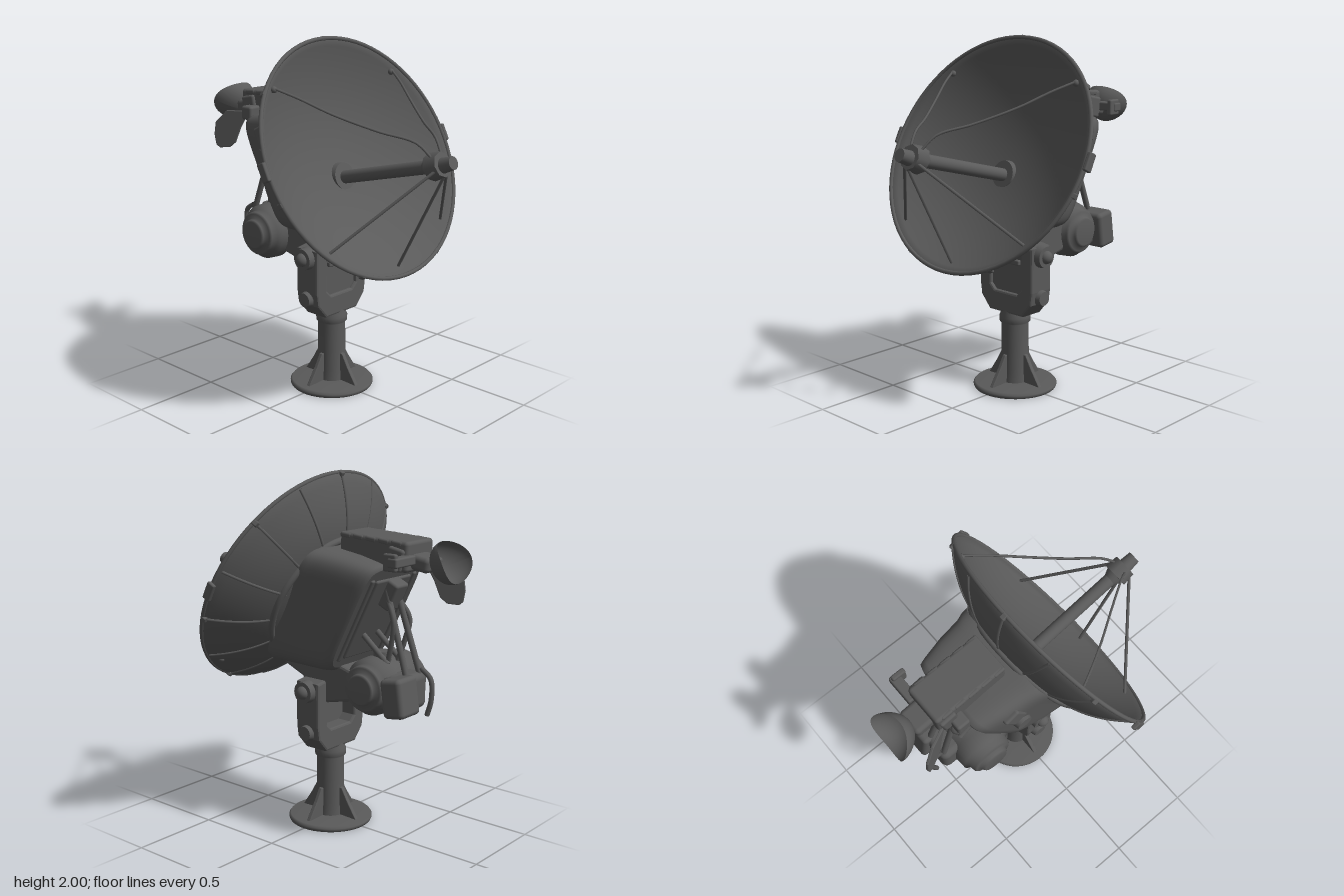
import * as THREE from 'three';
import { RoundedBoxGeometry } from 'three/addons/geometries/RoundedBoxGeometry.js';

const V = (x, y, z) => new THREE.Vector3(x, y, z);
const gray = new THREE.MeshStandardMaterial({ color: 0x5a5a5a, side: THREE.DoubleSide });
gray.name = 'dark gray';

function add(parent, name, geo, x = 0, y = 0, z = 0, rx = 0, ry = 0, rz = 0) {
  const m = new THREE.Mesh(geo, gray);
  m.name = name;
  m.position.set(x, y, z);
  m.rotation.set(rx, ry, rz);
  parent.add(m);
  return m;
}
const box = (w, h, d, r = 0.015) => new RoundedBoxGeometry(w, h, d, 3, r);
const cyl = (r1, r2, h, n = 28) => new THREE.CylinderGeometry(r1, r2, h, n);
const lathe = (pts, n = 40) => new THREE.LatheGeometry(pts.map(p => new THREE.Vector2(...p)), n);
const tube = (pts, r, seg = 24) => new THREE.TubeGeometry(new THREE.CatmullRomCurve3(pts), seg, r, 6);

// cylinder whose ends sit at a and b
function rod(parent, name, a, b, rA, rB = rA, n = 24) {
  const m = add(parent, name, cyl(rB, rA, a.distanceTo(b), n));
  m.position.copy(a).lerp(b, 0.5);
  m.quaternion.setFromUnitVectors(V(0, 1, 0), b.clone().sub(a).normalize());
}

// rounded-rectangle sections [depth, halfWidth, bottom, top], joined along z and capped
function loft(sections, n = 56, power = 0.32) {
  const pos = [], idx = [];
  const c = (v) => Math.sign(v) * Math.abs(v) ** power;
  const ring = ([z, w, b, t]) => {
    for (let i = 0; i < n; i++) {
      const a = (i / n) * Math.PI * 2;
      pos.push(w * c(Math.cos(a)), (b + t) / 2 + (t - b) / 2 * c(Math.sin(a)), z);
    }
  };
  sections.forEach(ring);
  for (let s = 0; s < sections.length - 1; s++)
    for (let i = 0; i < n; i++) {
      const a = s * n + i, b = s * n + (i + 1) % n;
      idx.push(a, a + n, b, b, a + n, b + n);
    }
  const last = sections[sections.length - 1], k = pos.length / 3;
  ring(last);
  pos.push(0, (last[2] + last[3]) / 2, last[0]);
  for (let i = 0; i < n; i++) idx.push(k + n, k + (i + 1) % n, k + i);
  const g = new THREE.BufferGeometry();
  g.setAttribute('position', new THREE.Float32BufferAttribute(pos, 3));
  g.setIndex(idx);
  g.computeVertexNormals();
  return g;
}

function extrude(pts, depth, bevel = 0.008) {
  const g = new THREE.ExtrudeGeometry(new THREE.Shape(pts.map(p => new THREE.Vector2(...p))),
    { depth: depth - 2 * bevel, bevelSize: bevel, bevelThickness: bevel, bevelSegments: 2 });
  g.translate(0, 0, -(depth - 2 * bevel) / 2);
  return g;
}

function buildPedestal(g) {
  add(g, 'basePlate', lathe([[0, 0], [0.235, 0], [0.24, 0.01], [0.24, 0.02], [0.23, 0.032], [0.1, 0.036], [0, 0.036]], 48));
  add(g, 'column', lathe([[0.085, 0.03], [0.08, 0.1], [0.078, 0.38], [0.088, 0.39], [0.09, 0.42], [0.082, 0.44], [0.08, 0.47]], 32));
  for (let i = 0; i < 4; i++) {
    const h = new THREE.Group();
    h.name = 'gusset';
    h.rotation.y = i * Math.PI / 2;
    add(h, 'gussetPlate', extrude([[0.06, 0.03], [0.195, 0.03], [0.13, 0.125], [0.09, 0.195], [0.06, 0.2]], 0.024, 0.004));
    g.add(h);
  }
}

function buildYoke(g) {
  // U-shaped fork with a web closing its front
  add(g, 'fork', extrude([[-0.12, 0.46], [0.12, 0.46], [0.18, 0.53], [0.19, 0.6], [0.19, 0.84], [0.13, 0.85],
    [0.13, 0.6], [0.09, 0.56], [-0.09, 0.56], [-0.13, 0.6], [-0.13, 0.85], [-0.19, 0.84], [-0.19, 0.6], [-0.18, 0.53]], 0.16, 0.012));
  add(g, 'forkWeb', box(0.27, 0.26, 0.05), 0, 0.67, 0.035);
  add(g, 'forkSlot', box(0.2, 0.03, 0.03, 0.008), 0, 0.755, 0.065);
  for (const s of [-1, 1]) {
    add(g, 'upperPivot', cyl(0.06, 0.065, 0.05), s * 0.215, 0.8, 0, 0, 0, -s * Math.PI / 2);
    add(g, 'upperPivotCap', new THREE.SphereGeometry(0.038, 20, 12), s * 0.235, 0.8, 0);
    add(g, 'lowerPivot', cyl(0.04, 0.05, 0.04), s * 0.205, 0.56, 0, 0, 0, -s * Math.PI / 2);
  }
  // cradle that carries the dish and the drive
  const cradle = extrude([[0.25, 0.95], [0.2, 0.92], [0.08, 0.87], [0.04, 0.76], [-0.08, 0.75], [-0.25, 0.79],
    [-0.25, 0.93], [0, 1.0], [0.15, 1.04]], 0.27, 0.015);
  cradle.rotateY(-Math.PI / 2);
  add(g, 'cradle', cradle);
}

function buildDrive(g) {
  // drum profile is mirrored about its middle
  const half = [[0, 0.24], [0.075, 0.24], [0.085, 0.23], [0.09, 0.21], [0.115, 0.21], [0.125, 0.2],
    [0.13, 0.16], [0.155, 0.15], [0.16, 0.08], [0.145, 0.06]];
  const drum = lathe([...half.map(([r, y]) => [r, -y]), ...half.reverse()], 36);
  add(g, 'motorDrum', drum, -0.03, 0.875, -0.37, 0, 0, Math.PI / 2);
  add(g, 'motorBracket', box(0.24, 0.15, 0.3, 0.03), 0, 0.87, -0.22);
  add(g, 'gearHousing', box(0.24, 0.2, 0.2, 0.04), 0.02, 0.86, -0.5);
  add(g, 'motorBox', box(0.17, 0.21, 0.13, 0.025), 0.12, 0.86, -0.575, 0.15);
  add(g, 'topValve', cyl(0.045, 0.055, 0.08), 0.02, 1.02, -0.38);
  // links and cables between the drive and the pod
  for (const s of [-1, 1]) {
    rod(g, 'link', V(s * 0.04, 1.4, -0.42), V(s * 0.06, 0.95, -0.57), 0.017);
    add(g, 'cable', tube([V(s * 0.04, 1.36, -0.42), V(s * 0.07, 1.24, -0.49), V(s * 0.06, 1.12, -0.47), V(s * 0.04, 0.96, -0.42)], 0.014));
    rod(g, 'brace', V(s * 0.06, 1.14, -0.28), V(s * 0.06, 1.0, -0.45), 0.016);
  }
  add(g, 'linkAnchor', box(0.11, 0.16, 0.08), 0, 1.37, -0.43, -0.45);
  add(g, 'hangingCable', tube([V(-0.06, 0.98, -0.58), V(-0.05, 0.93, -0.65), V(-0.05, 0.82, -0.655), V(-0.05, 0.73, -0.63)], 0.014));
}

function buildDish(d) {
  const R = 0.695, N = 18, squash = 0.97;
  const back = (r) => -0.012 - 0.238 * (1 - (r / R) ** 2.8);
  const prof = [];
  for (let i = 0; i <= N; i++) prof.push([R * i / N, back(R * i / N)]);
  for (let i = N; i >= 0; i--) prof.push([R * i / N, 0.008 - 0.212 * (1 - (i / N) ** 2.2)]);
  add(d, 'reflector', lathe(prof, 72).rotateX(Math.PI / 2).scale(1, squash, 1));
  add(d, 'rim', new THREE.TorusGeometry(R, 0.012, 8, 72).scale(1, squash, 1));
  add(d, 'rearRing', new THREE.TorusGeometry(0.38, 0.02, 10, 56), 0, 0, -0.205);
  // raised seams on the back and clips on the rim
  for (let i = 0; i < 14; i++) {
    const a = Math.PI / 2 + i / 14 * Math.PI * 2, c = Math.cos(a), s = Math.sin(a) * squash;
    const pts = [0.36, 0.44, 0.52, 0.6, 0.65, 0.69].map(r => V(r * c, r * s, back(r)));
    add(d, 'rearSeam', tube(pts, 0.008, 14));
    if (i % 2 === 0) add(d, 'rimClip', box(0.025, 0.03, 0.035, 0.006), c * R, s * R, -0.01, 0, 0, a);
  }
  for (const s of [-1, 1]) add(d, 'sideLug', box(0.025, 0.1, 0.05, 0.008), s * 0.71, 0.03, -0.01);
  // equipment pod
  add(d, 'pod', loft([[-0.205, 0.325, -0.36, 0.355], [-0.24, 0.32, -0.365, 0.37], [-0.28, 0.305, -0.345, 0.38],
    [-0.4, 0.29, -0.29, 0.42], [-0.52, 0.265, -0.24, 0.45], [-0.555, 0.255, -0.22, 0.455], [-0.568, 0.235, -0.195, 0.435]]));
  add(d, 'podBackPanel', box(0.3, 0.5, 0.03, 0.012), 0, 0.12, -0.565);
  for (const s of [-1, 1]) add(d, 'podRib', box(0.03, 0.52, 0.03, 0.01), s * 0.18, 0.12, -0.565);
  add(d, 'sideKnob', cyl(0.045, 0.055, 0.05), -0.285, 0.14, -0.42, 0, 0, Math.PI / 2);
  add(d, 'sideBox', box(0.05, 0.14, 0.1), -0.275, 0.28, -0.4);
}

function buildFeed(g) {
  rod(g, 'feedFlange', V(0, 1.235, 0.05), V(0, 1.25, 0.1), 0.085, 0.075);
  rod(g, 'feedBoom', V(0, 1.235, 0.06), V(0, 1.405, 0.73), 0.036);
  rod(g, 'feedCone', V(0, 1.385, 0.66), V(0, 1.4, 0.71), 0.036, 0.06);
  rod(g, 'feedCollar', V(0, 1.395, 0.7), V(0, 1.42, 0.77), 0.075, 0.068, 8);
  rod(g, 'feedTip', V(0, 1.41, 0.76), V(0, 1.437, 0.835), 0.042, 0.035);
  for (const s of [-1, 1]) {
    add(g, 'upperStay', tube([V(s * 0.46, 1.775, 0.04), V(s * 0.4, 1.73, 0.15), V(s * 0.31, 1.655, 0.3), V(s * 0.18, 1.575, 0.5),
      V(s * 0.08, 1.525, 0.66), V(s * 0.04, 1.45, 0.73)], 0.007));
    rod(g, 'lowerStay', V(s * 0.46, 0.97, 0.41), V(s * 0.05, 1.39, 0.76), 0.009, 0.009, 6);
    add(g, 'stayFoot', new THREE.SphereGeometry(0.018, 12, 8), s * 0.46, 1.77, 0.03);
    add(g, 'stayFoot', new THREE.SphereGeometry(0.018, 12, 8), s * 0.46, 0.97, 0.4);
  }
  rod(g, 'bottomStay', V(0, 0.82, 0.49), V(0, 1.36, 0.78), 0.009, 0.009, 6);
}

function buildTopUnit(g) {
  // ribbed housing over the pod
  add(g, 'housing', box(0.235, 0.16, 0.44, 0.02), 0, 1.602, -0.38, -0.05);
  for (let i = 0; i < 5; i++)
    add(g, 'housingRib', box(0.24, 0.03, 0.072, 0.012), 0, 1.674 - i * 0.004, -0.2 - i * 0.083, -0.1);
  add(g, 'housingClamp', box(0.27, 0.12, 0.1), 0, 1.58, -0.53, -0.2);
  add(g, 'sideBar', box(0.17, 0.05, 0.06, 0.01), 0.16, 1.58, -0.6);
  add(g, 'sideBarPost', box(0.03, 0.09, 0.08, 0.01), 0.225, 1.58, -0.58);
  add(g, 'sideBlock', box(0.1, 0.08, 0.08), -0.14, 1.55, -0.49);
  add(g, 'hornNeck', box(0.15, 0.08, 0.13, 0.025), 0, 1.56, -0.635, -0.15);
  // open horn with side lobes swept backward
  const horn = new THREE.SphereGeometry(1, 32, 14, 0, Math.PI * 2, Math.PI / 2, Math.PI / 2);
  horn.scale(0.135, 0.1, 0.115);
  const p = horn.attributes.position;
  for (let i = 0; i < p.count; i++) p.setY(i, p.getY(i) + 2.3 * p.getX(i) ** 2);
  horn.computeVertexNormals();
  add(g, 'horn', horn, 0, 1.575, -0.785, -1.12);
  // thin curved flap
  const flap = extrude([[0.55, 1.54], [0.68, 1.54], [0.75, 1.47], [0.76, 1.4], [0.75, 1.34], [0.73, 1.325], [0.67, 1.33], [0.635, 1.36], [0.6, 1.45]], 0.016, 0.004);
  flap.translate(-0.65, 0, 0).rotateY(Math.PI / 2);
  add(g, 'flap', flap, -0.15, 0, -0.65, 0, 0.45);
}

export function createModel() {
  const model = new THREE.Group();
  model.name = 'dishAntenna';
  const make = (name, build) => {
    const g = new THREE.Group();
    g.name = name;
    build(g);
    model.add(g);
    return g;
  };
  make('pedestal', buildPedestal);
  make('yoke', buildYoke);
  make('drive', buildDrive);
  const dish = make('dish', buildDish);
  dish.position.set(0, 1.385, 0.24);
  dish.rotation.x = -0.467;
  make('feed', buildFeed);
  make('topUnit', buildTopUnit);
  return model;
}
